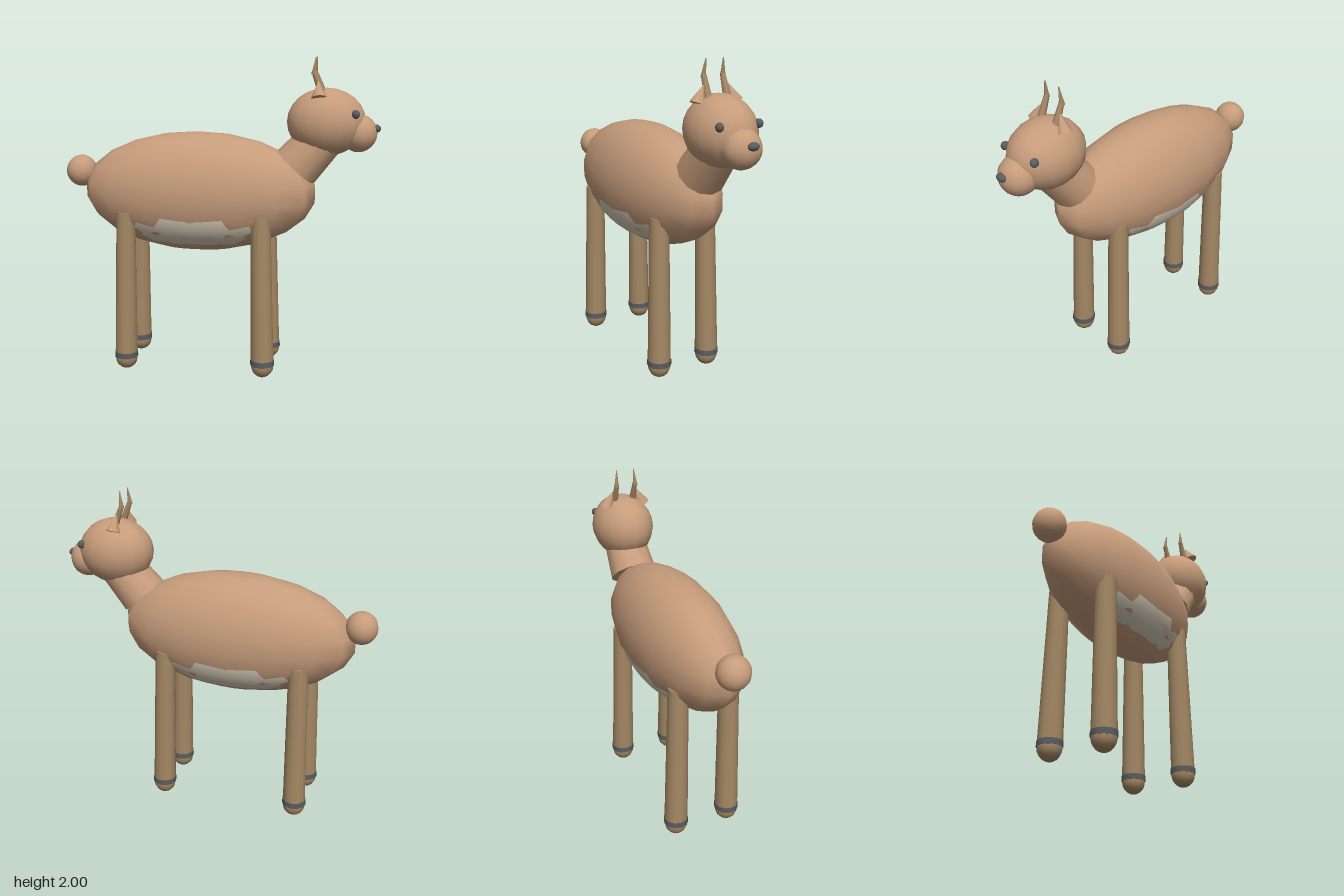
import * as THREE from 'three';

const mat = (name, color) => {
  const m = new THREE.MeshStandardMaterial({ color });
  m.name = name;
  return m;
};

export function createModel() {
  const fur = mat('tan fur', 0xc69c7b);
  const legFur = mat('leg brown', 0xa48864);
  const cream = mat('belly cream', 0xd2c8b4);
  const dark = mat('dark grey', 0x5a5c5e);
  const root = new THREE.Group();
  root.name = 'deer';

  const add = (name, geo, material, pos) => {
    const m = new THREE.Mesh(geo, material);
    m.name = name;
    m.position.set(...pos);
    root.add(m);
    return m;
  };
  const ball = (name, material, pos, radii, w = 16, h = 12) =>
    add(name, new THREE.SphereGeometry(1, w, h).scale(...radii), material, pos);
  // tapered rod between two points
  const rod = (name, material, a, b, ra, rb, sides = 12) => {
    const A = new THREE.Vector3(...a), B = new THREE.Vector3(...b);
    const d = B.clone().sub(A);
    const m = add(name, new THREE.CylinderGeometry(rb, ra, d.length(), sides), material,
      A.clone().add(B).multiplyScalar(0.5).toArray());
    m.quaternion.setFromUnitVectors(new THREE.Vector3(0, 1, 0), d.normalize());
    return m;
  };

  // torso, belly patch and tail
  ball('body', fur, [-0.13, 1.16, 0], [0.75, 0.38, 0.29], 16, 11);
  ball('belly', cream, [-0.13, 1.065, 0], [0.64, 0.275, 0.271], 20, 14);
  ball('tail', fur, [-0.902, 1.273, 0], [0.098, 0.102, 0.1]);

  // neck and head
  rod('neck', fur, [0.49, 1.33, 0], [0.65, 1.51, 0], 0.152, 0.135, 12);
  ball('head', fur, [0.67, 1.61, 0], [0.24, 0.207, 0.197]);
  ball('muzzle', fur, [0.868, 1.545, 0], [0.112, 0.116, 0.117]);
  ball('nose', dark, [0.975, 1.574, 0], [0.025, 0.024, 0.036]);

  for (const s of [1, -1]) {
    // face and horns
    ball('eye', dark, [0.848, 1.667, s * 0.129], [0.025, 0.026, 0.023]);
    rod('ear', fur, [0.63, 1.762, s * 0.124], [0.622, 1.864, s * 0.08], 0.048, 0, 8);
    rod('hornBase', legFur, [0.65, 1.77, s * 0.062], [0.592, 1.915, s * 0.063], 0.024, 0.015, 8);
    rod('hornTip', legFur, [0.593, 1.895, s * 0.065], [0.605, 2.0, s * 0.058], 0.016, 0.003, 8);

    // legs with rounded feet and ankle bands
    for (const [top, foot] of [[0.293, 0.315], [-0.563, -0.575]]) {
      rod('leg', legFur, [top, 1.04, s * 0.165], [foot, 0.08, s * 0.177], 0.061, 0.073, 12);
      ball('foot', legFur, [foot, 0.08, s * 0.177], [0.072, 0.077, 0.072], 12, 10);
      add('ankleBand', new THREE.CylinderGeometry(0.0755, 0.0765, 0.035, 12), dark,
        [foot, 0.103, s * 0.177]);
    }
  }

  return root;
}
